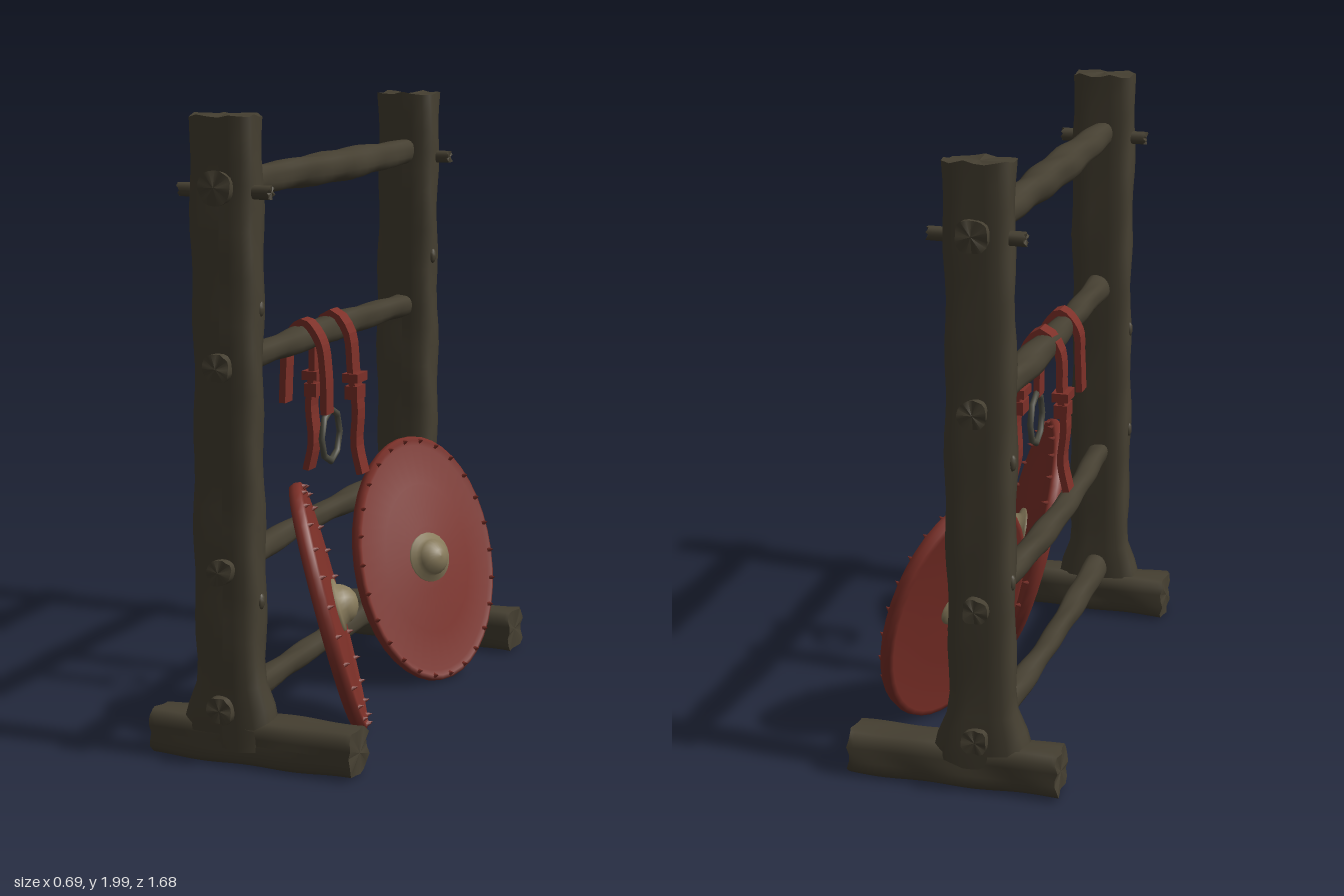
import * as THREE from 'three';

const mat = (name, color, side = THREE.FrontSide) => {
  const m = new THREE.MeshStandardMaterial({ color, side });
  m.name = name;
  return m;
};

export function createModel() {
  const root = new THREE.Group();
  root.name = 'shieldRack';
  const wood = mat('weathered wood', 0x453f31);
  const red = mat('worn red', 0x7d3028);
  const brass = mat('dull brass', 0x877a5b);
  const iron = mat('old iron', 0x4b4a3f);

  const add = (parent, name, geometry, material, x = 0, y = 0, z = 0) => {
    const m = new THREE.Mesh(geometry, material);
    m.name = name;
    m.position.set(x, y, z);
    parent.add(m);
    return m;
  };

  // Hewn timber along y: superellipse section (n = 2 round, larger = squarer), gently uneven
  const timber = (hx, hz, len, n, seed, shape = () => [1, 1, 0], rough = 0.06) => {
    const g = new THREE.CylinderGeometry(1, 1, len, 20, 28);
    const p = g.attributes.position;
    for (let i = 0; i < p.count; i++) {
      let x = p.getX(i), z = p.getZ(i);
      const y = p.getY(i);
      const r = Math.hypot(x, z);
      if (r > 1e-4) {
        const c = Math.abs(x / r), s = Math.abs(z / r);
        let k = 1 / Math.pow(c ** n + s ** n, 1 / n);
        k *= 1 - rough / 2 + rough * Math.sin(y * 13 + seed * 2.3 + x * 2) * Math.cos(y * 7 - z * 2 + seed);
        x *= k; z *= k;
      }
      const [sx, sz, dx] = shape(y);
      const tilt = Math.abs(y) > len / 2 - 1e-4 ? 0.012 * Math.sin(3 * x + 2 * z + seed) : 0;
      p.setXYZ(i, x * hx * sx + dx, y - Math.sign(y) * Math.abs(tilt), z * hz * sz);
    }
    g.computeVertexNormals();
    return g;
  };

  // Posts, feet and pegs on both ends
  for (const s of [1, -1]) {
    const end = new THREE.Group();
    end.name = s > 0 ? 'frontEnd' : 'backEnd';
    root.add(end);
    const flare = (y) => {
      const t = Math.max(0, 1 - (y + 0.87) / 0.14);
      return [1 + 0.45 * Math.min(t, 1) ** 1.5, 1 + 0.1 * Math.min(t, 1), 0];
    };
    add(end, 'post', timber(0.103, 0.06, 1.95, 7, s + 2, flare), wood, -0.08, 1.025, s * 0.745);
    add(end, 'foot', timber(0.072, 0.073, 0.69, 8, s + 5).rotateZ(Math.PI / 2), wood, 0.005, 0.08, s * 0.74);
    add(end, 'peg', timber(0.022, 0.022, 0.31, 2.5, s + 8).rotateZ(Math.PI / 2), wood, -0.077, 1.77, s * 0.76);
    // Knots on the post faces
    [[0.02, 1.42], [0.02, 0.52], [-0.18, 1.08], [-0.18, 0.7]].forEach(([x, y], i) => {
      const k = add(end, 'knot', new THREE.SphereGeometry(0.02, 8, 6), wood, x, y, s * (0.73 + 0.01 * i));
      k.scale.set(0.6, 1.3, 1);
    });
  }

  // Crossbeams: height, radius, sideways bow
  [[1.785, 0.05, 0], [1.245, 0.043, 0.015], [0.62, 0.039, 0.03], [0.185, 0.04, 0.02]].forEach(([y, r, bow], i) => {
    const shape = (t) => {
      const k = Math.abs(t) > 0.79 ? 1.08 : 1 + 0.08 * Math.cos(t * 5 + i);
      return [k, k, -bow * Math.max(0, Math.cos(t * 2.2))];
    };
    add(root, 'crossbeam', timber(r, r, 1.68, 2.6, i * 3, shape, 0.12).rotateX(Math.PI / 2), wood, -0.08, y, 0);
  });

  // Leaning oval shields
  const profile = [[0, -0.008], [0.5, -0.012], [0.9, -0.022], [0.93, -0.03], [0.98, -0.026], [1, -0.008],
    [0.995, 0.012], [0.96, 0.018], [0.92, 0.008], [0.6, 0.016], [0.25, 0.024], [0, 0.026]]
    .map(([x, y]) => new THREE.Vector2(x, y));
  const bossProfile = [[0.085, 0], [0.085, 0.012], [0.066, 0.016], [0.06, 0.035], [0.045, 0.055], [0.022, 0.068], [0, 0.071]]
    .map(([x, y]) => new THREE.Vector2(x, y));
  const shield = (name, cx, cy, cz, yaw, lean, roll, p, q) => {
    const g = new THREE.Group();
    g.name = name;
    const nh = new THREE.Vector3(Math.cos(yaw), 0, Math.sin(yaw));
    const up = new THREE.Vector3(0, 1, 0);
    const n = nh.clone().multiplyScalar(Math.cos(lean)).addScaledVector(up, Math.sin(lean));
    const v = up.clone().multiplyScalar(Math.cos(lean)).addScaledVector(nh, -Math.sin(lean)).applyAxisAngle(n, roll);
    const u = new THREE.Vector3().crossVectors(n, v);
    g.quaternion.setFromRotationMatrix(new THREE.Matrix4().makeBasis(u, n, v));
    g.position.set(cx, cy, cz);
    root.add(g);
    add(g, 'shieldBoard', new THREE.LatheGeometry(profile, 40), red).scale.set(p, 1, q);
    add(g, 'shieldBoss', new THREE.LatheGeometry(bossProfile, 20), brass, 0, 0.02, 0);
    const back = add(g, 'bossBack', new THREE.SphereGeometry(0.06, 16, 8), brass, 0, -0.008, 0);
    back.scale.y = 0.25;
    // Rim studs
    for (let i = 0; i < 26; i++) {
      const a = (i / 26) * Math.PI * 2;
      add(g, 'rimStud', new THREE.ConeGeometry(0.01, 0.022, 6), red,
        Math.cos(a) * p * 0.96, 0.024, Math.sin(a) * q * 0.96);
    }
  };
  shield('frontShield', 0.09, 0.415, 0.365, -0.4, 0.26, 0.07, 0.305, 0.42);
  shield('backShield', 0.14, 0.415, -0.35, 0.49, 0.28, -0.06, 0.3, 0.425);

  // Leather straps draped over the second beam
  const strap = (name, pts, width, z) => {
    const curve = new THREE.CatmullRomCurve3(pts.map(([x, y]) => new THREE.Vector3(x, y, 0)));
    const outer = [], inner = [];
    for (let i = 0; i <= 36; i++) {
      const c = curve.getPointAt(i / 36), t = curve.getTangentAt(i / 36);
      outer.push(new THREE.Vector2(c.x - t.y * 0.011, c.y + t.x * 0.011));
      inner.push(new THREE.Vector2(c.x + t.y * 0.011, c.y - t.x * 0.011));
    }
    const geo = new THREE.ExtrudeGeometry(new THREE.Shape([...outer, ...inner.reverse()]),
      { depth: width, bevelEnabled: false });
    add(root, name, geo.translate(0, 0, -width / 2), red, 0, 0, z);
  };
  strap('ringStrap', [[-0.155, 1.03], [-0.15, 1.15], [-0.142, 1.24], [-0.085, 1.3], [-0.03, 1.24], [-0.012, 1.14], [-0.008, 1.0]], 0.06, 0.16);
  strap('longStrap', [[-0.175, 0.76], [-0.155, 0.86], [-0.165, 0.98], [-0.152, 1.1], [-0.142, 1.24], [-0.085, 1.3],
    [-0.03, 1.24], [-0.012, 1.1], [0.005, 0.98], [0, 0.86], [0.022, 0.76]], 0.064, -0.075);

  // Strap keepers and hanging ring
  for (const x of [-0.155, -0.008]) {
    add(root, 'strapKeeper', new THREE.BoxGeometry(0.055, 0.03, 0.088), red, x, 1.085, -0.075);
    add(root, 'strapKeeper', new THREE.BoxGeometry(0.045, 0.045, 0.074), red, x, 1.035, -0.075);
  }
  const ring = add(root, 'hangingRing', new THREE.TorusGeometry(0.075, 0.011, 8, 8), iron, -0.008, 0.925, 0.13);
  ring.rotation.y = Math.PI / 2;
  ring.scale.y = 1.15;

  return root;
}
